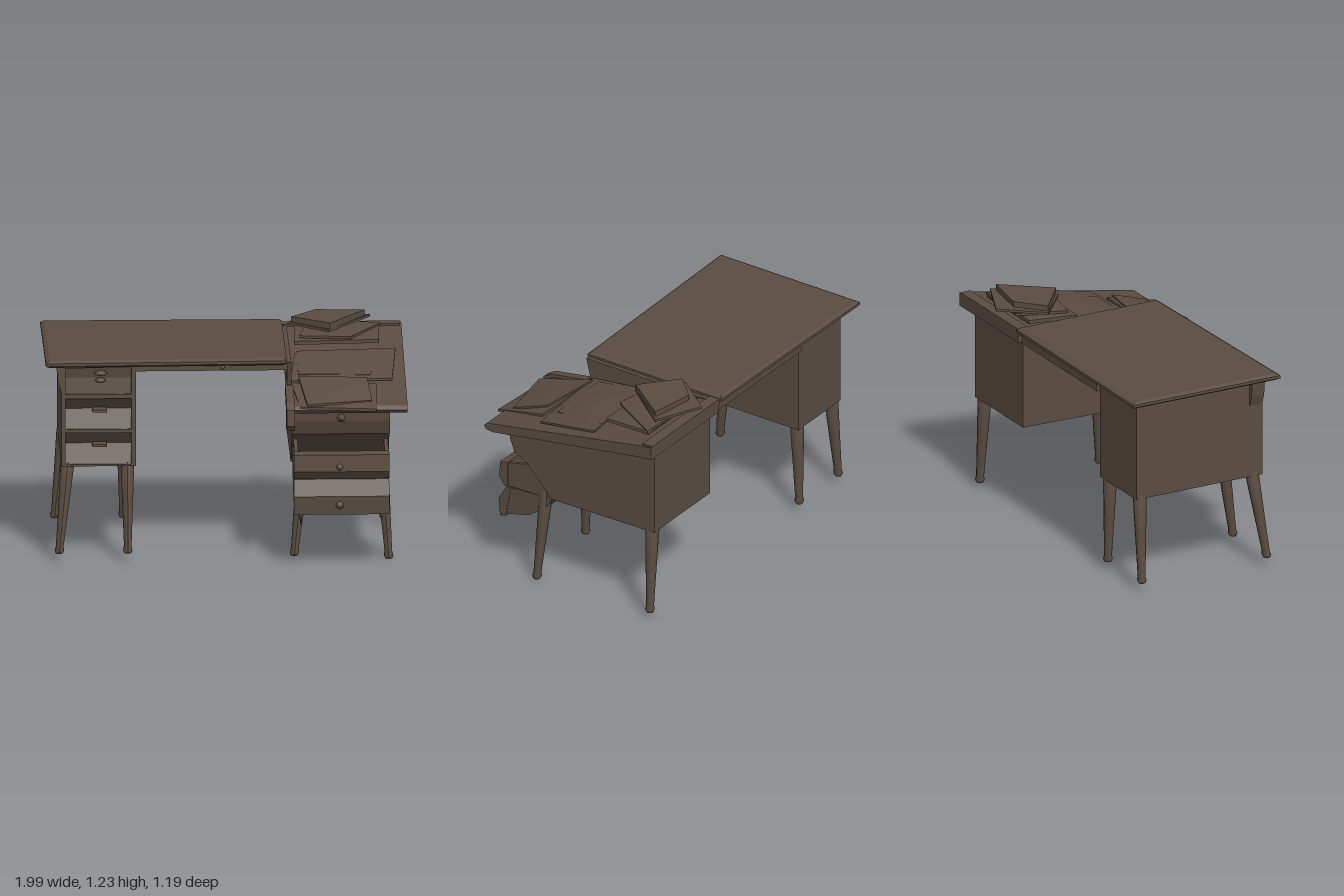
import * as THREE from 'three';

const wood = new THREE.MeshStandardMaterial({ color: 0x5a4c41 });
wood.name = 'darkWood';

export function createModel() {
  const model = new THREE.Group();
  model.name = 'desk';

  const add = (name, geo, parent = model) => {
    const mesh = new THREE.Mesh(geo, wood);
    mesh.name = name;
    parent.add(mesh);
    return mesh;
  };
  const group = (name) => {
    const g = new THREE.Group();
    g.name = name;
    model.add(g);
    return g;
  };
  // box given by its limits on each axis
  const box = (name, [x0, x1], [y0, y1], [z0, z1], parent) => add(name,
    new THREE.BoxGeometry(x1 - x0, y1 - y0, z1 - z0)
      .translate((x0 + x1) / 2, (y0 + y1) / 2, (z0 + z1) / 2), parent);
  // side outline of [z, y] points, extruded from x0 to x1
  const prism = (name, pts, x0, x1, parent) => {
    const shape = new THREE.Shape(pts.map(([z, y]) => new THREE.Vector2(z, y)));
    const geo = new THREE.ExtrudeGeometry(shape, { depth: x1 - x0, bevelEnabled: false });
    return add(name, geo.rotateY(-Math.PI / 2).translate(x1, 0, 0), parent);
  };
  // tapered, splayed leg with a small flared foot
  const leg = (name, top, foot) => {
    const h = top[1] - foot[1];
    const profile = [[0, 0], [0.02, 0], [0.027, 0.015], [0.022, 0.04], [0.032, h * 0.6], [0.04, h], [0, h]]
      .map(([r, y]) => new THREE.Vector2(r, y));
    const geo = new THREE.LatheGeometry(profile, 10);
    const p = geo.attributes.position;
    for (let i = 0; i < p.count; i++) {
      const t = p.getY(i) / h;
      p.setXYZ(i, p.getX(i) + foot[0] + (top[0] - foot[0]) * t, p.getY(i) + foot[1],
        p.getZ(i) + foot[2] + (top[2] - foot[2]) * t);
    }
    geo.computeVertexNormals();
    return add(name, geo);
  };
  // slab stretched between four corners (back left, back right, front right, front left in top view)
  const sheet = (name, c, thick, curl, parent) => {
    const geo = new THREE.BoxGeometry(1, thick, 1, 8, 1, 8);
    const p = geo.attributes.position;
    const v = c.map((a) => new THREE.Vector3(...a));
    for (let i = 0; i < p.count; i++) {
      const u = p.getX(i) + 0.5, w = p.getZ(i) + 0.5, y = p.getY(i);
      const q = v[0].clone().lerp(v[1], u).lerp(v[3].clone().lerp(v[2], u), w);
      p.setXYZ(i, q.x, q.y + y + curl * Math.sin(Math.PI * u) * Math.sin(Math.PI * w), q.z);
    }
    geo.computeVertexNormals();
    return add(name, geo, parent);
  };

  // main table top with chamfered rim
  const plan = [[-0.98, -0.57], [0.315, -0.56], [0.315, 0.3], [-0.98, 0.325]];
  const topShape = new THREE.Shape(plan.map(([x, z]) => new THREE.Vector2(x, -z)).reverse());
  add('tableTop', new THREE.ExtrudeGeometry(topShape,
    { depth: 0.016, bevelSize: 0.02, bevelThickness: 0.012, bevelSegments: 1 })
    .rotateX(-Math.PI / 2).translate(0, 1.127, 0));

  // aprons over the knee space
  box('frontApron', [-0.5, 0.35], [1.08, 1.12], [0.25, 0.28]);
  add('apronKnob', new THREE.SphereGeometry(0.012, 10, 8).translate(-0.02, 1.1, 0.285));
  box('backApron', [-0.5, 0.35], [1.05, 1.12], [-0.54, -0.51]);

  // small pedestal: carcass plus a front frame with three openings
  const small = group('smallPedestal');
  box('carcass', [-0.91, -0.5], [0.54, 1.12], [-0.52, 0.2], small);
  const frame = new THREE.Shape([[-0.91, 0.54], [-0.5, 0.54], [-0.5, 1.12], [-0.94, 1.12], [-0.93, 1.02], [-0.91, 0.96]]
    .map((a) => new THREE.Vector2(...a)));
  const rows = [[0.55, 0.73], [0.75, 0.925], [0.95, 1.1]];
  for (const [a, b] of rows) {
    frame.holes.push(new THREE.Path([[-0.89, a], [-0.89, b], [-0.525, b], [-0.525, a]]
      .map((q) => new THREE.Vector2(...q))));
  }
  add('frontFrame', new THREE.ExtrudeGeometry(frame, { depth: 0.08, bevelEnabled: false })
    .translate(0, 0, 0.2), small);
  rows.forEach(([a, b], i) => {
    const m = a + (b - a) * 0.6;
    const dent = i < 2 ? 0.215 : 0.255;
    prism('smallDrawerFront', [[0.2, a], [0.27, a], [dent, m], [0.265, b], [0.2, b]], -0.89, -0.525, small);
    if (i < 2) box('drawerHandle', [-0.74, -0.66], [m - 0.008, m + 0.008], [0.2, 0.285], small);
  });
  for (const [y, w] of [[1.07, 0.035], [1.03, 0.028]]) {
    add('drawerKnob', new THREE.SphereGeometry(1, 12, 8).scale(w, 0.015, 0.03).translate(-0.695, y, 0.275), small);
  }

  // large pedestal with sloped top and raking front
  const large = group('largePedestal');
  prism('body', [[-0.52, 0.54], [0.17, 0.53], [0.34, 0.71], [0.42, 0.75], [0.45, 0.83], [0.46, 0.92], [-0.52, 1.09]],
    0.36, 0.9, large);
  prism('innerWall', [[-0.52, 1.04], [0.26, 0.92], [0.31, 1.13], [-0.52, 1.13]], 0.335, 0.36, large);
  add('topDrawerKnob', new THREE.ConeGeometry(0.03, 0.07, 10).rotateX(Math.PI / 2).translate(0.63, 0.85, 0.47), large);

  // sloped desk top with rounded front and raised back edge
  prism('slopedTop', [[-0.565, 1.06], [-0.5, 1.055], [0.5, 0.895], [0.545, 0.9], [0.56, 0.92], [0.54, 0.94],
    [-0.48, 1.125], [-0.565, 1.135]], 0.34, 0.995, large);
  box('backLip', [0.33, 0.985], [1.1, 1.14], [-0.565, -0.5], large);

  // open drawers, tipping forward
  const drawer = (name, side, floor, front, knob) => {
    const g = group(name);
    prism('leftWall', side, 0.87, 0.892, g);
    prism('rightWall', side, 0.37, 0.392, g);
    prism('floor', floor, 0.39, 0.872, g);
    prism('front', front, 0.368, 0.895, g);
    add('knob', new THREE.SphereGeometry(0.022, 12, 8).translate(0.62, ...knob), g);
  };
  drawer('middleDrawer',
    [[0.17, 0.53], [0.49, 0.515], [0.51, 0.65], [0.32, 0.7]],
    [[0.17, 0.53], [0.49, 0.515], [0.49, 0.57], [0.22, 0.59]],
    [[0.47, 0.515], [0.49, 0.512], [0.525, 0.56], [0.52, 0.655], [0.47, 0.665]], [0.585, 0.512]);
  drawer('lowerDrawer',
    [[0.17, 0.53], [0.22, 0.45], [0.33, 0.375], [0.5, 0.33], [0.49, 0.46], [0.46, 0.51]],
    [[0.17, 0.53], [0.22, 0.45], [0.33, 0.375], [0.5, 0.33], [0.5, 0.38], [0.3, 0.45]],
    [[0.48, 0.325], [0.52, 0.315], [0.53, 0.42], [0.48, 0.507], [0.45, 0.507]], [0.37, 0.525]);
  // broken splinter hanging under the lower drawer
  add('splinter', new THREE.ConeGeometry(0.038, 0.16, 8).rotateX(Math.PI).translate(0.41, 0.305, 0.4));

  // legs
  for (const [x, dx] of [[-0.875, -0.05], [-0.545, 0]]) {
    leg('smallPedestalBackLeg', [x, 0.56, -0.48], [x + dx, 0.05, -0.495]);
    leg('smallPedestalFrontLeg', [x, 0.56, 0.23], [x + dx, 0.05, 0.3]);
  }
  leg('largePedestalBackLeg', [0.86, 0.56, -0.48], [0.9, 0.03, -0.49]);
  leg('largePedestalFrontLeg', [0.86, 0.56, 0.23], [0.9, 0.0, 0.27]);
  leg('largePedestalInnerLeg', [0.43, 0.56, 0.26], [0.375, 0.03, 0.305]);

  // loose papers spread over the slope
  const papers = group('papers');
  sheet('backPaper', [[0.4, 1.14, -0.46], [0.87, 1.14, -0.46], [0.86, 1.125, -0.17], [0.39, 1.12, -0.16]], 0.02, 0.01, papers);
  sheet('backFolder', [[0.48, 1.165, -0.5], [0.88, 1.15, -0.46], [0.7, 1.15, -0.15], [0.42, 1.145, -0.2]], 0.014, 0.01, papers);
  sheet('widePaper', [[0.39, 1.075, -0.09], [0.95, 1.085, -0.15], [0.92, 1.01, 0.23], [0.355, 1.01, 0.27]], 0.012, 0.015, papers);
  sheet('innerPaper', [[0.4, 1.08, -0.12], [0.86, 1.085, -0.14], [0.8, 1.025, 0.2], [0.4, 1.03, 0.2]], 0.012, 0.005, papers);
  sheet('frontPaper', [[0.36, 0.995, 0.27], [0.83, 0.995, 0.28], [0.82, 0.925, 0.585], [0.4, 0.93, 0.55]], 0.015, 0.015, papers);
  sheet('raisedPaper', [[0.4, 1.03, 0.24], [0.78, 1.03, 0.28], [0.8, 0.955, 0.5], [0.44, 0.95, 0.57]], 0.012, 0.005, papers);

  // book stack turned at an angle
  sheet('lowerBook', [[0.54, 1.19, -0.59], [0.82, 1.195, -0.47], [0.58, 1.185, -0.17], [0.36, 1.185, -0.36]], 0.014, 0, papers);
  sheet('upperBook', [[0.52, 1.21, -0.49], [0.79, 1.215, -0.45], [0.59, 1.21, -0.18], [0.38, 1.205, -0.35]], 0.036, 0, papers);

  // curled strip hanging over the front corner
  prism('curledStrip', [[0.56, 0.805], [0.595, 0.84], [0.59, 0.93], [0.54, 0.96], [0.3, 1.0], [0.3, 0.96],
    [0.44, 0.9], [0.45, 0.82], [0.5, 0.8]], 0.325, 0.37, papers);

  return model;
}
